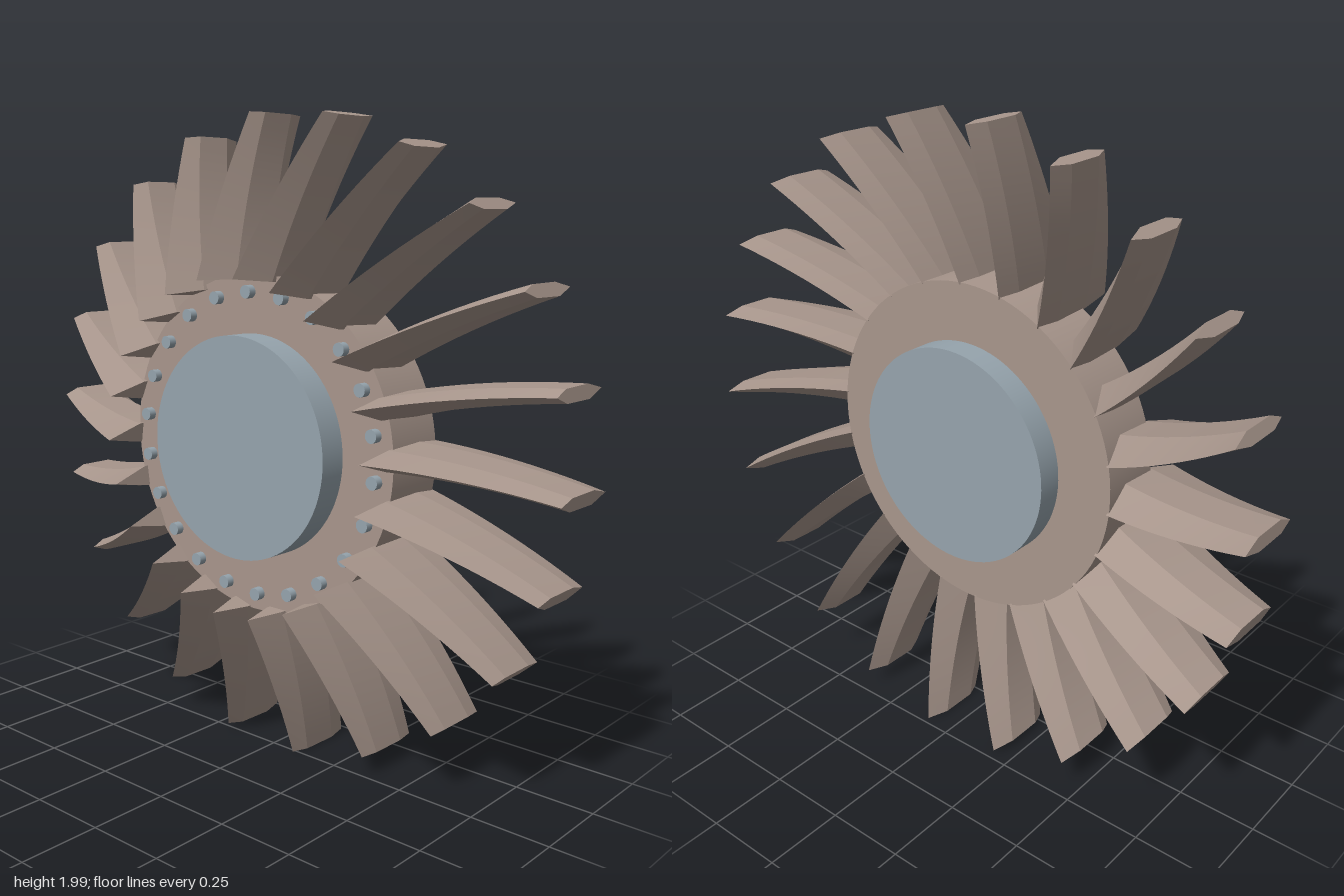
import * as THREE from 'three';

const BLADES = 22;
const PITCH = (Math.PI * 2) / BLADES;

// Blade sections as [x along the axis, sideways offset]
const ROOT = [[-0.23, 0.1], [-0.1, 0.123], [0.04, 0.129], [0.125, 0.122], [0.04, 0.052], [-0.1, 0.06]];
const TIP = [[-0.01, 0.09], [0.04, 0.109], [0.16, 0.111], [0.23, 0.094], [0.16, 0.07], [0.04, 0.07]];
const ROOT_R = 0.5, TIP_R = 0.995, STEPS = 10;

// Point on the blade: corner j at span fraction s, with a bow along the span
function bladePoint(j, s) {
  const x = THREE.MathUtils.lerp(ROOT[j][0], TIP[j][0], s);
  const t = THREE.MathUtils.lerp(ROOT[j][1], TIP[j][1], s) + 0.05 * s * (1 - s);
  return [x, THREE.MathUtils.lerp(ROOT_R, TIP_R, s), -t];
}

// Lofted blade: every strip is smooth along the span and creased at its ridges
function bladeGeometry() {
  const pos = [], idx = [], n = ROOT.length;
  for (let j = 0; j < n; j++) {
    const base = pos.length / 3;
    for (let i = 0; i <= STEPS; i++) {
      pos.push(...bladePoint(j, i / STEPS), ...bladePoint((j + 1) % n, i / STEPS));
    }
    for (let i = 0; i < STEPS; i++) {
      const a = base + i * 2, b = a + 1, d = a + 2, c = a + 3;
      idx.push(a, d, c, a, c, b);
    }
  }
  // End caps
  for (const s of [0, 1]) {
    const base = pos.length / 3;
    for (let j = 0; j < n; j++) pos.push(...bladePoint(j, s));
    for (let j = 1; j < n - 1; j++) {
      if (s) idx.push(base, base + j + 1, base + j);
      else idx.push(base, base + j, base + j + 1);
    }
  }
  const g = new THREE.BufferGeometry();
  g.setAttribute('position', new THREE.Float32BufferAttribute(pos, 3));
  g.setIndex(idx);
  g.computeVertexNormals();
  return g;
}

// Disc lying along the x axis between two positions
function axialDisc(radius, x0, x1, sides) {
  return new THREE.CylinderGeometry(radius, radius, x1 - x0, sides)
    .rotateZ(-Math.PI / 2)
    .translate((x0 + x1) / 2, 0, 0);
}

export function createModel() {
  const bronze = new THREE.MeshStandardMaterial({ color: 0xa8968c });
  bronze.name = 'warm grey metal';
  const steel = new THREE.MeshStandardMaterial({ color: 0x96a4ad });
  steel.name = 'blue grey steel';

  const model = new THREE.Group();
  model.name = 'turbineWheel';
  const wheel = new THREE.Group();
  wheel.name = 'wheel';
  wheel.position.y = 1;
  model.add(wheel);

  const add = (name, geometry, material, angle = 0) => {
    const mesh = new THREE.Mesh(geometry, material);
    mesh.name = name;
    mesh.rotation.x = angle;
    wheel.add(mesh);
  };

  // Rotor disc and the hub through it
  add('rotorDisc', axialDisc(0.52, -0.085, 0.12, 96), bronze);
  add('hub', axialDisc(0.34, -0.175, 0.2, 96), steel);

  // Blades, with a rivet between each pair on the intake side
  const blade = bladeGeometry();
  const rivet = axialDisc(0.02, -0.11, -0.08, 16).translate(0, 0.465, 0);
  for (let i = 0; i < BLADES; i++) {
    add('blade', blade, bronze, i * PITCH);
    add('rivet', rivet, steel, (i + 0.5) * PITCH - 0.18);
  }
  return model;
}
